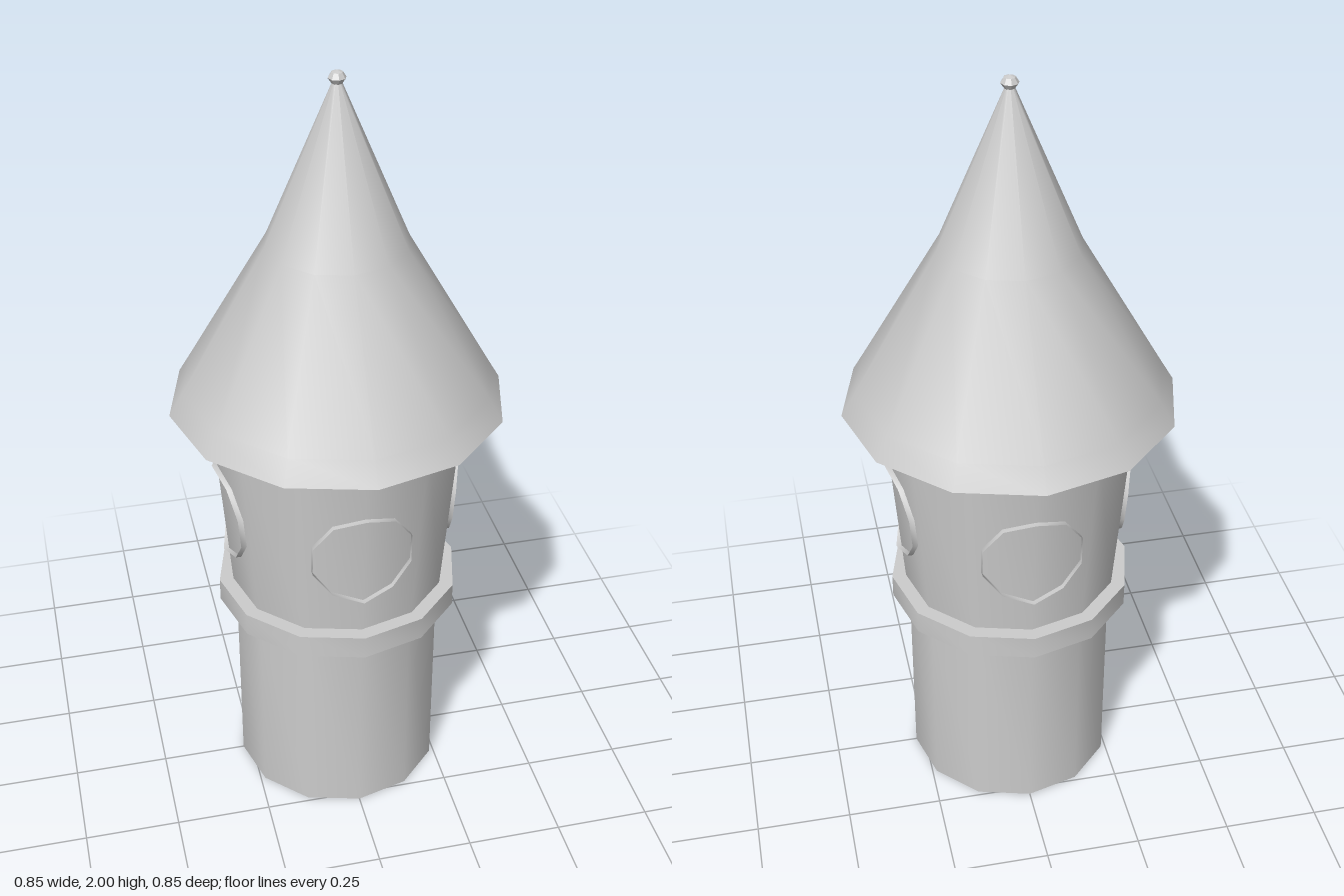
import * as THREE from 'three';
import { toCreasedNormals } from 'three/addons/utils/BufferGeometryUtils.js';

const SIDES = 12;
const CREASE = 0.65; // smooth around the tower, sharp at ledges
const WALL = { y0: 0.6, r0: 0.282, y1: 1.145, r1: 0.325 };

const material = new THREE.MeshStandardMaterial({ color: 0xcccccc, side: THREE.DoubleSide });

function turned(name, profile, sides = SIDES) {
  const points = profile.map(([r, y]) => new THREE.Vector2(r, y));
  const mesh = new THREE.Mesh(toCreasedNormals(new THREE.LatheGeometry(points, sides), CREASE), material);
  mesh.name = name;
  return mesh;
}

// Depth of the upper wall at a height and sideways offset from a corner edge
function wallDepth(x, y) {
  const t = (y - WALL.y0) / (WALL.y1 - WALL.y0);
  return WALL.r0 + (WALL.r1 - WALL.r0) * t - Math.abs(x) * Math.tan(Math.PI / SIDES);
}

// Thin ten-sided band standing out from the wall and following its bend
function windowFrame(name, angle) {
  const n = 10, radius = 0.133, centre = 0.848;
  const position = [], index = [];
  for (let i = 0; i <= n; i++) {
    const a = (i / n) * Math.PI * 2;
    const x = Math.sin(a) * radius, y = centre + Math.cos(a) * radius;
    const z = wallDepth(x, y);
    position.push(x, y, z - 0.004, x, y, z + 0.014);
    if (i < n) {
      const k = i * 2;
      index.push(k, k + 1, k + 2, k + 1, k + 3, k + 2);
    }
  }
  const geometry = new THREE.BufferGeometry();
  geometry.setAttribute('position', new THREE.Float32BufferAttribute(position, 3));
  geometry.setIndex(index);
  const mesh = new THREE.Mesh(toCreasedNormals(geometry, 0.8), material);
  mesh.name = name;
  mesh.rotation.y = angle;
  return mesh;
}

export function createModel() {
  const tower = new THREE.Group();
  tower.name = 'tower';

  // Open-bottomed shaft, ledge and flared upper room
  tower.add(turned('shaft', [[0.275, 0], [0.275, 0.55]]));
  tower.add(turned('ledge', [[0.275, 0.55], [0.32, 0.55], [0.32, 0.613], [0.282, 0.613]]));
  tower.add(turned('upperWall', [[WALL.r0, WALL.y0], [WALL.r1, WALL.y1]]));

  // Window frames on the four sides
  ['front', 'left', 'back', 'right'].forEach((side, i) =>
    tower.add(windowFrame(side + 'WindowFrame', (i * Math.PI) / 2)));

  // Pointed roof with a flat eave underside, and its tip
  tower.add(turned('roof', [[0.32, 1.145], [0.425, 1.145], [0.39, 1.205], [0.178, 1.575], [0.012, 1.97]]));
  tower.add(turned('finial', [[0.01, 1.965], [0.022, 1.982], [0.014, 1.995], [0, 2]], 8));

  return tower;
}
